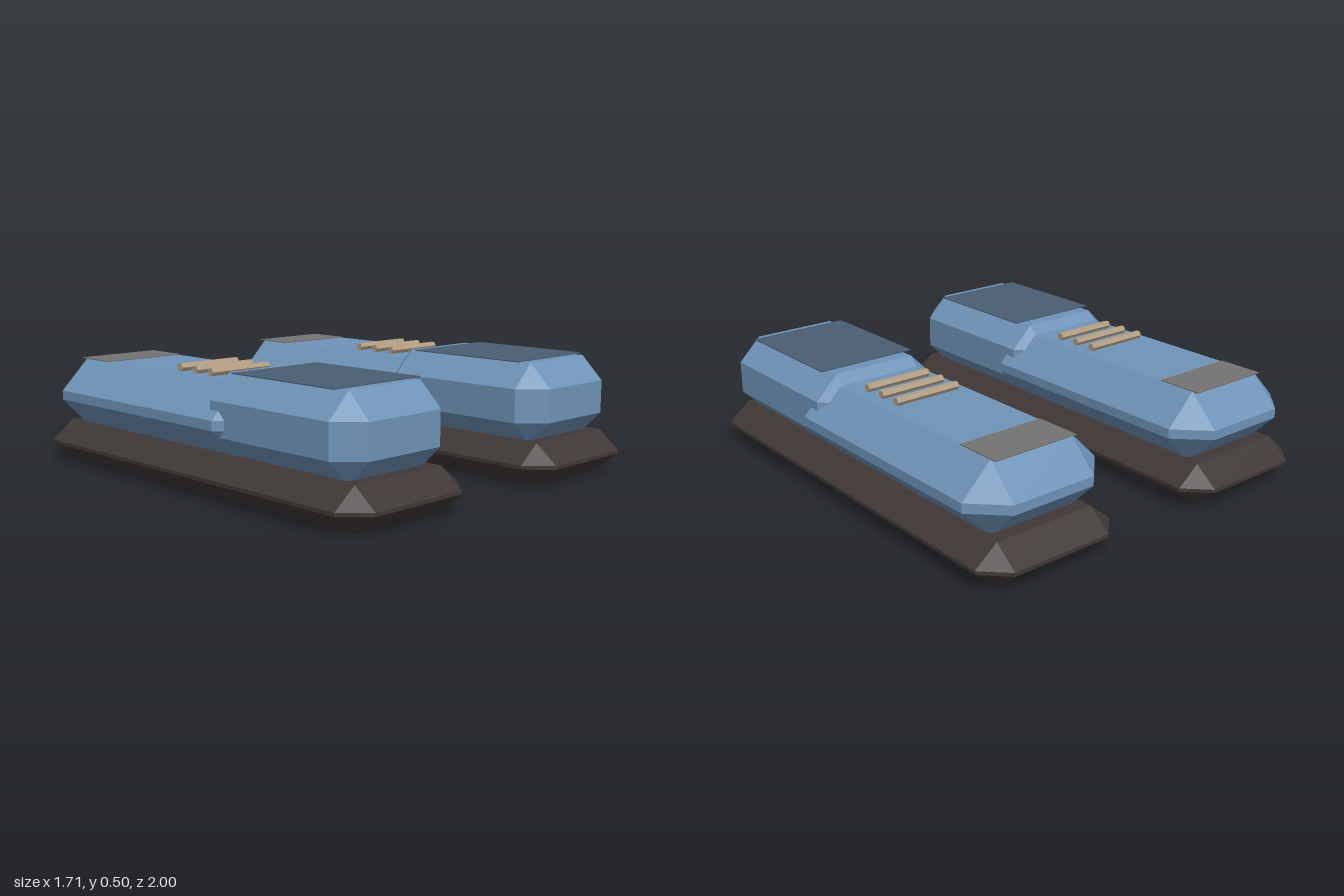
import * as THREE from 'three';
import { ConvexGeometry } from 'three/addons/geometries/ConvexGeometry.js';

const mat = (name, color) => new THREE.MeshStandardMaterial({ name, color, flatShading: true });

// Box with every edge and corner cut off: three points per corner
function chamferBox(halfW, [y0, y1], [z0, z1], bevel, bevelY = bevel) {
  const points = [];
  for (const sx of [-1, 1]) for (const sy of [-1, 1]) for (const sz of [-1, 1]) {
    const x = sx * halfW, y = sy > 0 ? y1 : y0, z = sz > 0 ? z1 : z0;
    const xi = x - sx * bevel, yi = y - sy * bevelY, zi = z - sz * bevel;
    points.push(
      new THREE.Vector3(x, yi, zi),
      new THREE.Vector3(xi, y, zi),
      new THREE.Vector3(xi, yi, z),
    );
  }
  return new ConvexGeometry(points);
}

export function createModel() {
  const blue = mat('blue fabric', 0x6f94b9);
  const darkBlue = mat('dark blue patch', 0x4a5e72);
  const soleBrown = mat('dark sole', 0x3f3836);
  const grey = mat('grey heel patch', 0x747371);
  const tan = mat('tan lace', 0xb39f83);

  function createShoe(name) {
    const shoe = new THREE.Group();
    shoe.name = name;
    const add = (part, geometry, material, x = 0, y = 0, z = 0) => {
      const mesh = new THREE.Mesh(geometry, material);
      mesh.name = part;
      mesh.position.set(x, y, z);
      shoe.add(mesh);
      return mesh;
    };

    // Sole, upper and raised toe cap
    add('sole', chamferBox(0.328, [0, 0.175], [-1, 1], 0.1, 0.08), soleBrown);
    add('upper', chamferBox(0.321, [0.155, 0.455], [-0.95, 0.36], 0.13), blue);
    add('toeCap', chamferBox(0.287, [0.155, 0.495], [0.08, 0.93], 0.1), blue);

    // Thin patches on the toe and heel
    add('toePatch', new THREE.BoxGeometry(0.45, 0.004, 0.56), darkBlue, 0, 0.498, 0.515);
    add('heelPatch', new THREE.BoxGeometry(0.385, 0.004, 0.2), grey, 0, 0.457, -0.75);

    // Three laces across the instep
    for (let i = 0; i < 3; i++) {
      const lace = add('lace', new THREE.CylinderGeometry(0.018, 0.018, 0.3, 6), tan,
        0, 0.473, 0.013 - i * 0.1);
      lace.rotation.z = Math.PI / 2;
    }
    return shoe;
  }

  const model = new THREE.Group();
  model.name = 'shoes';
  for (const side of [-1, 1]) {
    const shoe = createShoe(side > 0 ? 'leftShoe' : 'rightShoe');
    shoe.position.x = side * 0.527;
    model.add(shoe);
  }
  return model;
}
